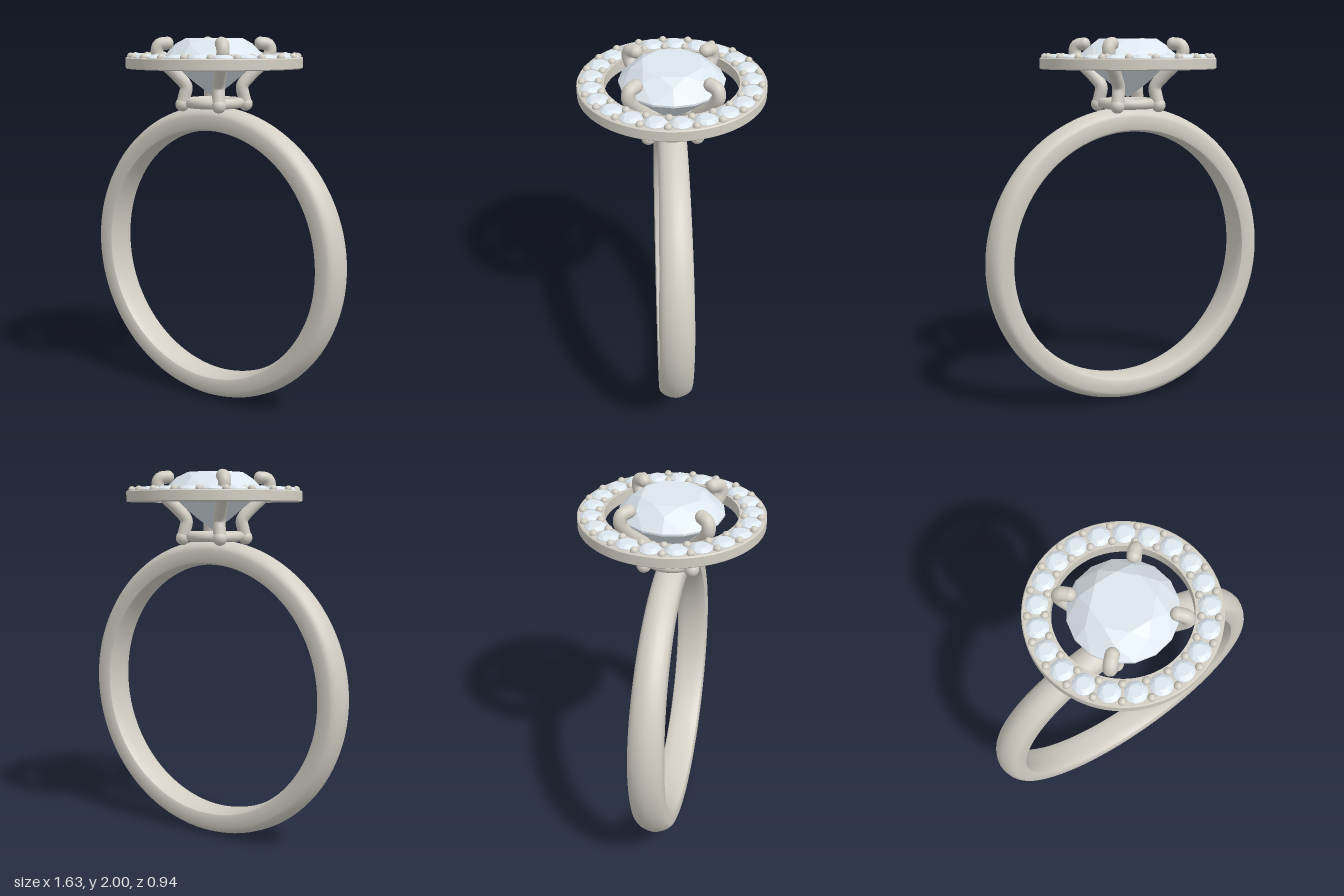
import * as THREE from 'three';
import { toCreasedNormals } from 'three/addons/utils/BufferGeometryUtils.js';
import { ConvexGeometry } from 'three/addons/geometries/ConvexGeometry.js';

const metal = new THREE.MeshStandardMaterial({ color: 0xd2cec4 });
const gem = new THREE.MeshStandardMaterial({ color: 0xdde6ee });

function add(parent, name, geometry, material, x = 0, y = 0, z = 0) {
  const mesh = new THREE.Mesh(geometry, material);
  mesh.name = name;
  mesh.position.set(x, y, z);
  parent.add(mesh);
  return mesh;
}

// Closed profile of [radius, height] pairs, turned about y
function turned(profile, segments) {
  const points = [...profile, profile[0]].map(([r, h]) => new THREE.Vector2(r, h));
  return new THREE.LatheGeometry(points, segments);
}

// Round brilliant cut with its girdle at y = 0
function brilliant(radius, crown, pavilion, girdle) {
  const points = [];
  const ring = (n, r, y, offset) => {
    for (let i = 0; i < n; i++) {
      const a = (i + offset) * Math.PI * 2 / n;
      points.push(new THREE.Vector3(r * radius * Math.sin(a), y, r * radius * Math.cos(a)));
    }
  };
  const c = Math.cos(Math.PI / 8);
  ring(8, 0.58, crown, 0);
  ring(8, 0.78, crown * (1 - 0.78 * c) / 0.42, 0.5);
  ring(16, 1, 0, 0);
  ring(16, 1, -girdle, 0);
  ring(8, 0.35, -girdle - pavilion * (1 - 0.35 * c), 0.5);
  points.push(new THREE.Vector3(0, -girdle - pavilion, 0));
  return new ConvexGeometry(points);
}

// Domed band, narrowing toward the setting
function bandGeometry() {
  const outer = [[0.708, 1], [0.765, 1], [0.779, 0.94], [0.792, 0.8], [0.803, 0.6], [0.813, 0.3]];
  const inner = [[0.695, 0.94], [0.687, 0.75], [0.683, 0.4]];
  const flip = list => list.map(([r, w]) => [r, -w]);
  const profile = [
    ...flip(outer), [0.817, 0], ...outer.slice().reverse(),
    ...inner, [0.682, 0], ...flip(inner).reverse(),
  ];
  const geometry = turned(profile, 128);
  geometry.rotateX(Math.PI / 2);
  const p = geometry.attributes.position;
  for (let i = 0; i < p.count; i++) {
    const rise = Math.max(0, p.getY(i) / Math.hypot(p.getX(i), p.getY(i)));
    p.setZ(i, p.getZ(i) * (0.089 - 0.015 * Math.pow(rise, 1.5)));
  }
  return toCreasedNormals(geometry, 0.7);
}

export function createModel() {
  const model = new THREE.Group();
  model.name = 'ring';

  add(model, 'band', bandGeometry(), metal, 0, 0.818, 0);

  // Collar that joins the claws above the band
  const collar = add(model, 'collar', new THREE.TorusGeometry(0.135, 0.027, 16, 64), metal, 0, 1.652, 0);
  collar.rotation.x = Math.PI / 2;

  // Centre stone
  const centre = add(model, 'centreStone', brilliant(0.266, 0.09, 0.212, 0.01), gem, 0, 1.903, 0);
  centre.rotation.y = Math.PI / 8;

  // Four claws, bent in over the girdle
  const path = new THREE.CatmullRomCurve3([
    [0.172, 1.645], [0.16, 1.69], [0.152, 1.74], [0.2, 1.8],
    [0.268, 1.865], [0.304, 1.92], [0.293, 1.957], [0.25, 1.966],
  ].map(([r, y]) => new THREE.Vector3(r, y, 0)));
  const clawGeometry = new THREE.TubeGeometry(path, 48, 0.034, 16);
  const capGeometry = new THREE.SphereGeometry(0.034, 16, 12);
  const footGeometry = new THREE.SphereGeometry(0.038, 16, 12);
  for (let i = 0; i < 4; i++) {
    const claw = new THREE.Group();
    claw.name = 'claw';
    claw.rotation.y = Math.PI / 4 + i * Math.PI / 2;
    add(claw, 'clawStem', clawGeometry, metal);
    add(claw, 'clawTip', capGeometry, metal, 0.25, 1.966, 0);
    add(claw, 'clawFoot', footGeometry, metal, 0.172, 1.645, 0);
    model.add(claw);
  }

  // Halo plate with softened outer edges
  const halo = turned([
    [0.335, 1.835], [0.466, 1.835], [0.471, 1.84], [0.471, 1.889], [0.466, 1.894], [0.335, 1.894],
  ], 96);
  add(model, 'haloPlate', toCreasedNormals(halo, 0.5), metal);

  // Halo stones with a pair of beads in each gap
  const count = 21;
  const smallStone = brilliant(0.055, 0.015, 0.04, 0.004);
  const bead = new THREE.SphereGeometry(0.02, 14, 10);
  for (let i = 0; i < count; i++) {
    const a = i * Math.PI * 2 / count;
    const stone = add(model, 'haloStone', smallStone, gem, 0.402 * Math.sin(a), 1.897, -0.402 * Math.cos(a));
    stone.rotation.y = -a;
    const b = a + Math.PI / count;
    for (const r of [0.361, 0.443]) {
      add(model, 'haloBead', bead, metal, r * Math.sin(b), 1.897, -r * Math.cos(b));
    }
  }
  return model;
}
